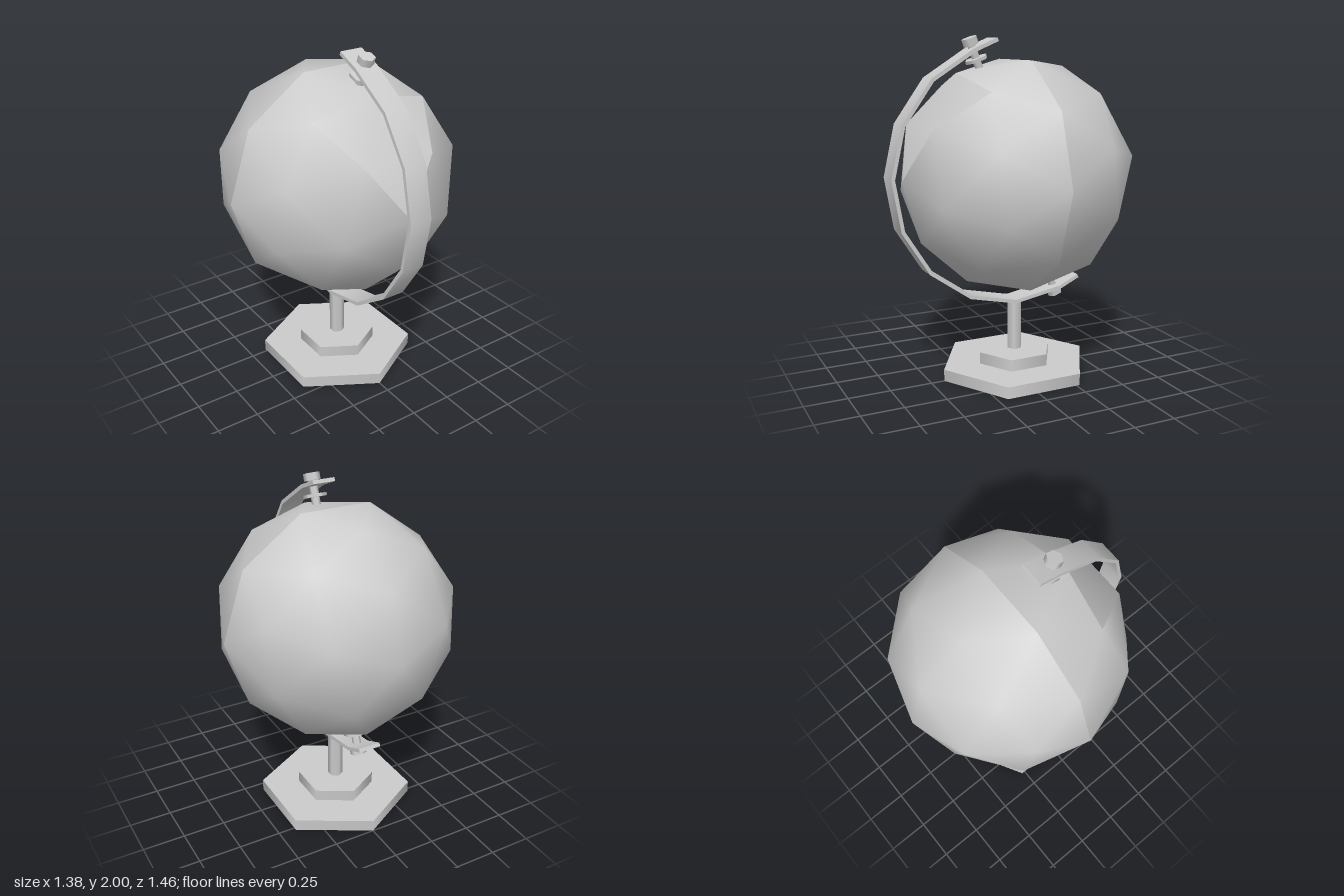
import * as THREE from 'three';
import { mergeVertices, mergeGeometries, toCreasedNormals } from 'three/addons/utils/BufferGeometryUtils.js';

const CENTRE = new THREE.Vector3(0, 1.21, -0.04);
const RADIUS = 0.69;

const material = new THREE.MeshStandardMaterial({ color: 0xcccccc });

function part(name, geometry) {
  const mesh = new THREE.Mesh(geometry, material);
  mesh.name = name;
  return mesh;
}

// Six-sided disc or rod standing between two heights
function hexagon(name, radius, bottom, top) {
  const geometry = new THREE.CylinderGeometry(radius, radius, top - bottom, 6);
  geometry.translate(0, (bottom + top) / 2, 0);
  return part(name, geometry);
}

// Low-poly ball with its poles on z, smoothed separately within each patch
function ballGeometry() {
  const ico = new THREE.IcosahedronGeometry(RADIUS, 1);
  ico.rotateX(Math.atan(2 / (1 + Math.sqrt(5))));
  const source = ico.getAttribute('position');
  const faceDirection = new THREE.Vector3(0, 0.607, 0.795);
  const patches = [[], [], []]; // back half, front half, upper front face
  for (let i = 0; i < source.count; i += 3) {
    const corners = [0, 1, 2].map(k => new THREE.Vector3().fromBufferAttribute(source, i + k));
    const middle = new THREE.Vector3();
    corners.forEach(c => middle.add(c));
    middle.normalize();
    const patch = middle.z < 0 ? 0 : middle.dot(faceDirection) > 0.883 ? 2 : 1;
    corners.forEach(c => patches[patch].push(c.x, c.y, c.z));
  }
  return mergeGeometries(patches.map(values => {
    const piece = new THREE.BufferGeometry();
    piece.setAttribute('position', new THREE.Float32BufferAttribute(values, 3));
    const welded = mergeVertices(piece, 1e-3);
    welded.computeVertexNormals();
    return welded;
  }));
}

// Flat band following a half circle, with a straight tab at each end
function armGeometry() {
  const path = [new THREE.Vector2(0.095, 1.98)];
  for (let i = 0; i <= 8; i++) {
    const a = THREE.MathUtils.degToRad(69 - 22.5 * i);
    path.push(new THREE.Vector2(CENTRE.z + 0.763 * Math.cos(a), CENTRE.y + 0.763 * Math.sin(a)));
  }
  path.push(new THREE.Vector2(-0.44, 0.556));
  const offset = distance => path.map((p, i) => {
    const before = path[Math.max(i - 1, 0)];
    const after = path[Math.min(i + 1, path.length - 1)];
    const along = after.clone().sub(before).normalize();
    return new THREE.Vector2(p.x - along.y * distance, p.y + along.x * distance);
  });
  const shape = new THREE.Shape([...offset(0.011), ...offset(-0.011).reverse()]);
  const geometry = new THREE.ExtrudeGeometry(shape, { depth: 0.136, bevelEnabled: false });
  geometry.translate(0, 0, -0.068);
  geometry.rotateY(-Math.PI / 2);
  return toCreasedNormals(geometry, THREE.MathUtils.degToRad(35));
}

// Pivot screw lying on the tilted axis; heights are distances from the ball's centre
function pivot(name, tilt, shift) {
  const group = new THREE.Group();
  group.name = name;
  group.add(
    hexagon('pivotPin', 0.025, 0.64 + shift, 0.8 + shift),
    hexagon('pivotWasher', 0.068, 0.683 + shift, 0.701 + shift),
    hexagon('pivotHead', 0.047, 0.776 + shift, 0.818 + shift)
  );
  group.position.copy(CENTRE);
  group.rotation.x = tilt;
  return group;
}

export function createModel() {
  const model = new THREE.Group();
  model.name = 'deskGlobe';

  // Stepped foot and post
  const stand = new THREE.Group();
  stand.name = 'stand';
  stand.position.z = CENTRE.z;
  stand.add(
    hexagon('basePlate', 0.46, 0, 0.07),
    hexagon('baseStep', 0.23, 0.07, 0.14),
    hexagon('post', 0.045, 0.14, 0.45)
  );
  model.add(stand);

  // Ball
  const ball = part('ball', ballGeometry());
  ball.position.copy(CENTRE);
  model.add(ball);

  // Arm and its two pivots
  const tilt = THREE.MathUtils.degToRad(20);
  model.add(
    part('arm', armGeometry()),
    pivot('upperPivot', tilt, 0.01),
    pivot('lowerPivot', tilt + Math.PI, -0.006)
  );
  return model;
}
